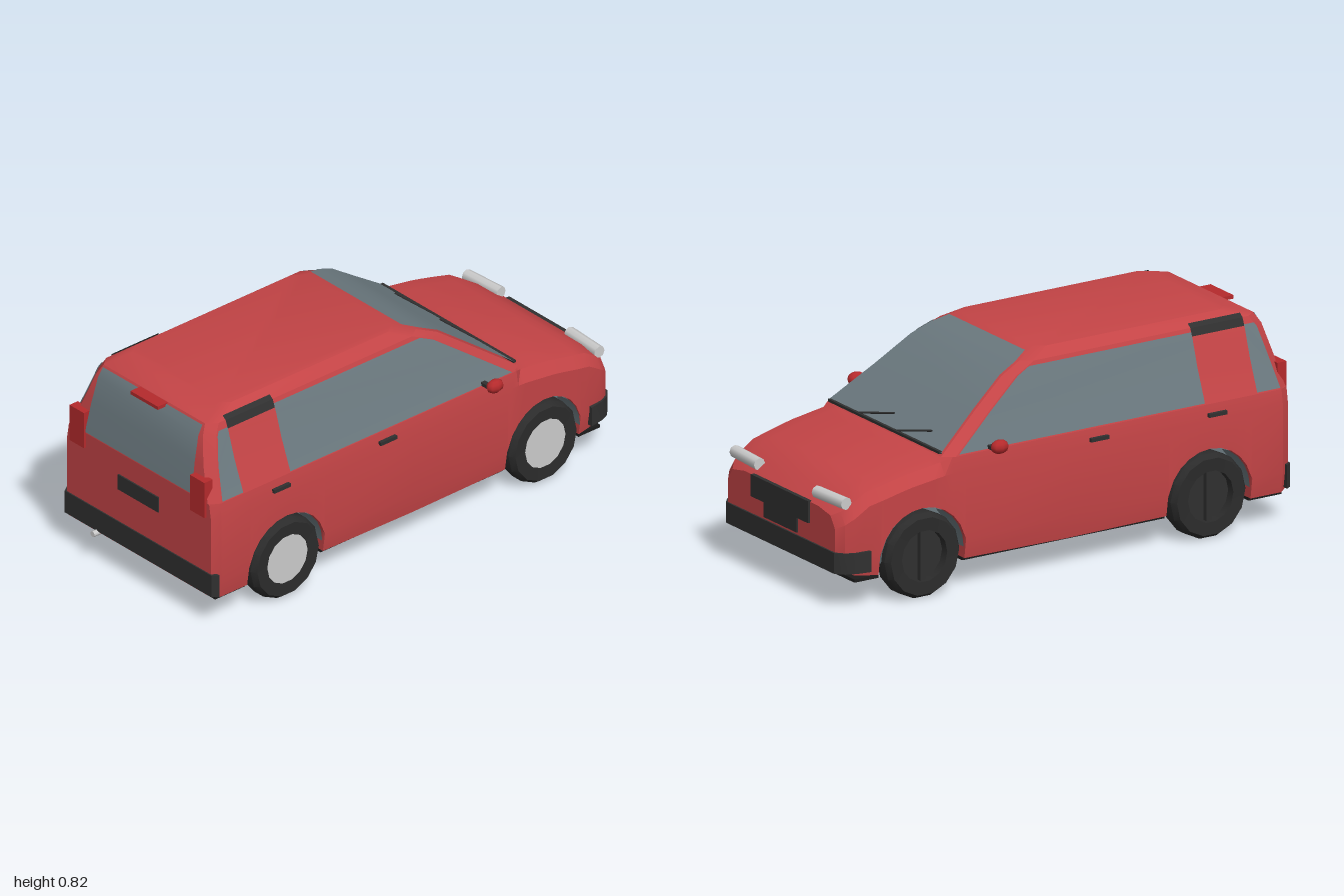
import * as THREE from 'three';
import { toCreasedNormals } from 'three/addons/utils/BufferGeometryUtils.js';

const mat = (name, color, extra = {}) => new THREE.MeshStandardMaterial({ name, color, ...extra });

// Piecewise linear lookup in [[key, value], ...]
function lerpTable(table, k) {
  for (let i = 1; i < table.length; i++) {
    const [a, va] = table[i - 1], [b, vb] = table[i];
    if (k <= b) return va + (vb - va) * Math.max(0, (k - a) / (b - a));
  }
  return table[table.length - 1][1];
}

// Skin a list of point rings; closed rings are capped at both ends
function loft(rings, closed = true, crease = 0.45) {
  const n = rings[0].length, index = [];
  const at = (i, j) => i * n + (j % n);
  for (let i = 0; i + 1 < rings.length; i++) {
    for (let j = 0; j < (closed ? n : n - 1); j++) {
      index.push(at(i, j), at(i, j + 1), at(i + 1, j), at(i, j + 1), at(i + 1, j + 1), at(i + 1, j));
    }
  }
  if (closed) {
    const last = rings.length - 1;
    for (let k = 1; k + 1 < n; k++) {
      index.push(at(last, 0), at(last, k), at(last, k + 1));
      index.push(at(0, 0), at(0, k + 1), at(0, k));
    }
  }
  const g = new THREE.BufferGeometry();
  g.setAttribute('position', new THREE.Float32BufferAttribute(rings.flat(2), 3));
  g.setIndex(index);
  return toCreasedNormals(g, crease);
}

// Upright prism from a plan outline of [x, z]
const prism = (plan, y0, y1) => loft([y0, y1].map(y => plan.map(([x, z]) => [x, y, z])));

// Lower body tables, by z
const halfWidth = [[-0.99, 0.355], [-0.965, 0.385], [-0.93, 0.4], [-0.8, 0.41], [-0.5, 0.42], [0.94, 0.42], [0.975, 0.4]];
const topLine = [[-0.99, 0.375], [-0.94, 0.41], [-0.87, 0.455], [-0.7, 0.495], [-0.53, 0.52], [0.975, 0.52]];
// Cabin tables, by y
const cabinWidth = [[0.52, 0.412], [0.65, 0.36], [0.75, 0.328], [0.79, 0.312], [0.822, 0.27]];
const cabinFront = [[0.52, -0.54], [0.75, -0.22], [0.79, -0.13], [0.822, -0.05]];
const cabinRear = [[0.52, 0.975], [0.65, 0.95], [0.75, 0.925], [0.79, 0.9], [0.822, 0.8]];
const W = y => lerpTable(cabinWidth, y), F = y => lerpTable(cabinFront, y), R = y => lerpTable(cabinRear, y);

const AXLES = [-0.64, 0.62], ARCH = 0.185, HUB_Y = 0.165;

export function createModel() {
  const car = new THREE.Group();
  car.name = 'car';
  const paint = mat('red paint', 0xc44446);
  const glass = mat('grey glass', 0x6b797f, { side: THREE.DoubleSide });
  const trim = mat('black trim', 0x303030, { side: THREE.DoubleSide });
  const under = mat('underbody black', 0x1c1c1c);
  const rubber = mat('tyre rubber', 0x2b2b2b);
  const silver = mat('light silver', 0xcccccc);
  const lamp = mat('lamp red', 0xb52a2c);

  const add = (name, geo, material, x = 0, y = 0, z = 0, parent = car) => {
    const m = new THREE.Mesh(geo, material);
    m.name = name;
    m.position.set(x, y, z);
    parent.add(m);
    return m;
  };
  const box = (name, material, w, h, d, x, y, z, parent) =>
    add(name, new THREE.BoxGeometry(w, h, d), material, x, y, z, parent);

  // Lower body: sections along z, the sill rising over each wheel arch
  const arch = c => {
    const pts = [[c - ARCH, 0.12]];
    for (let i = 0; i <= 12; i++) {
      const a = Math.PI * (1 - i / 12);
      pts.push([c + ARCH * Math.cos(a), HUB_Y + ARCH * Math.sin(a)]);
    }
    return [...pts, [c + ARCH, 0.12]];
  };
  const stations = [[-0.99, 0.17], [-0.965, 0.15], [-0.93, 0.135], [-0.87, 0.125],
    ...arch(AXLES[0]), [0, 0.115], ...arch(AXLES[1]), [0.94, 0.12], [0.975, 0.13]];
  add('lowerBody', loft(stations.map(([z, yb]) => {
    const w = lerpTable(halfWidth, z), t = lerpTable(topLine, z), s = z < -0.54 ? 1 : 0;
    const half = [[w - 0.012, yb], [w, Math.max(yb, 0.2)], [w, t - 0.06],
      [w - 0.01 - 0.02 * s, t - 0.015 * s], [w - 0.03 - 0.08 * s, t]];
    return [...half, ...half.slice().reverse().map(([x, y]) => [-x, y])].map(([x, y]) => [x, y, z]);
  })), paint);

  // Cabin: stacked horizontal slices with chamfered corners
  add('cabin', loft(cabinWidth.map(([y, w]) => {
    const f = F(y), r = R(y);
    return [[w - 0.03, r], [w, r - 0.04], [w, f + 0.045], [w - 0.03, f],
      [-w + 0.03, f], [-w, f + 0.045], [-w, r - 0.04], [-w + 0.03, r]].map(([x, z]) => [x, y, z]);
  })), paint);

  // Windscreen and rear window
  const levels = [0.527, 0.65, 0.75, 0.785];
  const lift = 0.005;
  add('windscreen', loft([...levels, 0.81].map(y =>
    [1, -1].map(s => [s * (W(y) - 0.034), y + lift, F(y) - lift])), false), glass);
  add('rearWindow', loft(levels.map(y =>
    [-1, 1].map(s => [s * (0.297 - (y - 0.525) * 0.08), y, R(y) + lift])), false), glass);

  // Side glazing and roof trim, mirrored
  for (const s of [1, -1]) {
    const sidePanel = (name, ys, z0, z1, material) => add(name, loft(ys.map(y =>
      [z0(y), z1(y)].map(z => [s * (W(y) + lift), y + 0.002, z])), false), material);
    sidePanel('sideWindow', [0.525, 0.65, 0.75, 0.775], () => 0.6, y => F(y) + 0.05, glass);
    sidePanel('quarterWindow', [0.525, 0.65, 0.75, 0.765], () => 0.83, y => R(y) - 0.042, glass);
    sidePanel('roofTrim', [0.76, 0.79, 0.803], () => 0.6, () => 0.83, trim);
  }

  // Bumpers wrapping both ends
  const frontPlan = [[0.418, -0.87], [0.408, -0.93], [0.392, -0.968], [0.36, -0.997]];
  add('frontBumper', prism([...frontPlan, ...frontPlan.slice().reverse().map(([x, z]) => [-x, z])], 0.145, 0.225), trim);
  add('rearBumper', prism([[0.408, 0.98], [0.425, 0.955], [-0.425, 0.955], [-0.408, 0.98]], 0.135, 0.227), trim);

  // Grille and number plates
  box('grille', trim, 0.38, 0.085, 0.02, 0, 0.337, -0.99);
  box('frontPlate', trim, 0.22, 0.06, 0.008, 0, 0.265, -0.992);
  box('rearPlate', trim, 0.225, 0.063, 0.008, 0, 0.397, 0.977);

  // Floor, notched for the wheels
  box('floor', under, 0.61, 0.12, 1.86, 0, 0.172, 0.01);
  box('floorPan', under, 0.61, 0.012, 1.86, 0, 0.114, 0.01);
  for (const [z0, z1] of [[-0.93, AXLES[0] - ARCH], [AXLES[0] + ARCH, AXLES[1] - ARCH], [AXLES[1] + ARCH, 0.95]]) {
    box('floorEdge', under, 0.79, 0.012, z1 - z0, 0, 0.114, (z0 + z1) / 2);
  }

  // Wheels and arches; every wheel carries its cap on the same side
  const tyreProfile = [[0.1, -0.045], [0.15, -0.0475], [0.165, -0.026], [0.165, 0.026], [0.15, 0.0475], [0.1, 0.045], [0.1, -0.045]]
    .map(p => new THREE.Vector2(...p));
  const tyreGeo = toCreasedNormals(new THREE.LatheGeometry(tyreProfile, 14), 0.6);
  for (const s of [1, -1]) {
    for (const c of AXLES) {
      const wheel = new THREE.Group();
      wheel.name = 'wheel';
      wheel.position.set(s * 0.378, HUB_Y, c);
      car.add(wheel);
      const turned = (name, geo, material, x) => {
        add(name, geo, material, x, 0, 0, wheel).rotation.z = -Math.PI / 2;
      };
      turned('tyre', tyreGeo, rubber, 0);
      turned('wheelCap', new THREE.CylinderGeometry(0.1, 0.1, 0.012, 14), silver, 0.036);
      turned('wheelBack', new THREE.CylinderGeometry(0.101, 0.101, 0.02, 14), trim, 0);
      box('wheelBar', trim, 0.02, 0.19, 0.025, -0.025, 0, 0, wheel);

      const r = ARCH - 0.003;
      add('archLiner', loft([0.3, 0.408].map(x => Array.from({ length: 13 }, (_, i) => {
        const a = Math.PI * i / 12;
        return [s * x, HUB_Y + r * Math.sin(a), c + r * Math.cos(a)];
      })), false), glass);
      add('archWall', new THREE.CircleGeometry(r, 16, 0, Math.PI), glass, s * 0.302, HUB_Y, c).rotation.y = s * Math.PI / 2;
    }
  }

  // Lamps, mirrors and door handles, mirrored
  for (const s of [1, -1]) {
    const head = add('headlight', new THREE.CylinderGeometry(0.024, 0.024, 0.18, 8), silver, s * 0.28, 0.41, -0.955);
    head.rotation.set(0, s * -0.06, Math.PI / 2);
    add('tailLight', prism([[0.375, 0.985], [0.375, 0.945], [0.295, 0.945], [0.295, 0.985]]
      .map(([x, z]) => [x + (s < 0 ? -0.67 : 0), z]), 0.46, 0.61), lamp);
    box('mirrorArm', trim, 0.08, 0.014, 0.02, s * 0.43, 0.533, -0.345);
    const mirror = add('mirror', new THREE.SphereGeometry(0.027, 8, 6), lamp, s * 0.477, 0.55, -0.345);
    mirror.scale.set(0.95, 1, 1.4);
    for (const z of [0.13, 0.65]) box('doorHandle', trim, 0.018, 0.014, 0.08, s * 0.421, 0.48, z);
  }
  box('brakeLight', lamp, 0.152, 0.014, 0.05, 0, 0.782, 0.925);

  // Wipers at the foot of the windscreen
  box('wiperRail', trim, 0.74, 0.01, 0.012, 0, 0.532, -0.535);
  for (const x of [-0.155, 0.095]) {
    const path = new THREE.LineCurve3(new THREE.Vector3(x + 0.085, 0.535, -0.535), new THREE.Vector3(x - 0.085, 0.572, -0.487));
    add('wiper', new THREE.TubeGeometry(path, 1, 0.004, 5), trim);
  }

  // Exhaust pipe
  add('exhaust', new THREE.CylinderGeometry(0.012, 0.012, 0.12, 8), silver, -0.23, 0.128, 0.94).rotation.x = Math.PI / 2;
  return car;
}
